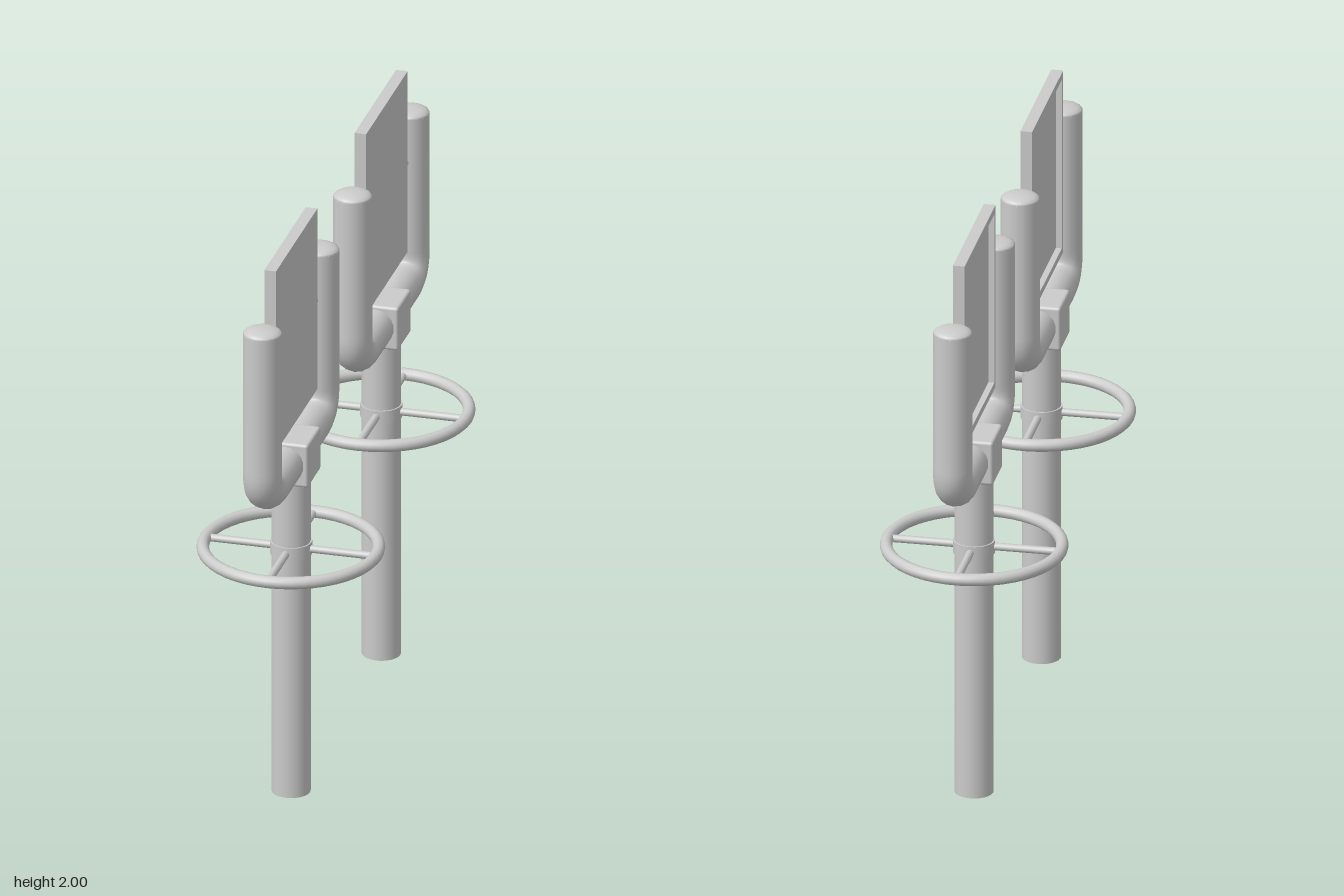
import * as THREE from 'three';
import { RoundedBoxGeometry } from 'three/addons/geometries/RoundedBoxGeometry.js';

const material = new THREE.MeshStandardMaterial({ color: 0xcccccc });

function add(parent, name, geometry, x = 0, y = 0, z = 0) {
  const mesh = new THREE.Mesh(geometry, material);
  mesh.name = name;
  mesh.position.set(x, y, z);
  parent.add(mesh);
  return mesh;
}

// U-shaped fork: two uprights joined by a bent crossbar, with slightly domed ends
function buildFork(unit) {
  const r = 0.065, reach = 0.36, low = 1.218, bend = 0.1;
  const tops = { front: 1.815, back: 1.803 };
  const v = (y, z) => new THREE.Vector3(0, y, z);
  const path = new THREE.CurvePath();
  path.add(new THREE.LineCurve3(v(tops.front, reach), v(low + bend, reach)));
  path.add(new THREE.QuadraticBezierCurve3(v(low + bend, reach), v(low, reach), v(low, reach - bend)));
  path.add(new THREE.LineCurve3(v(low, reach - bend), v(low, bend - reach)));
  path.add(new THREE.QuadraticBezierCurve3(v(low, bend - reach), v(low, -reach), v(low + bend, -reach)));
  path.add(new THREE.LineCurve3(v(low + bend, -reach), v(tops.back, -reach)));
  add(unit, 'fork', new THREE.TubeGeometry(path, 90, r, 18));

  for (const [end, side] of [['front', 1], ['back', -1]]) {
    const dome = new THREE.SphereGeometry(r, 18, 5, 0, Math.PI * 2, 0, Math.PI / 2);
    dome.scale(1, 0.32, 1);
    add(unit, end + 'ArmCap', dome, 0, tops[end], side * reach);

    // pivot pin between the arm and the panel
    const pin = new THREE.CylinderGeometry(0.012, 0.012, 0.09, 10).rotateX(Math.PI / 2);
    add(unit, end + 'PivotPin', pin, 0, 1.648, side * 0.295);
  }
}

// Thin panel: flat on the left side, recessed inside a raised rim on the right side
function buildPanel(unit) {
  const w = 0.52, h = 0.655, rim = 0.024, depth = 0.04;
  const panel = new THREE.Group();
  panel.name = 'panel';
  panel.position.set(0, 1.6725, 0.003);
  unit.add(panel);

  const rect = (target, a, b) => {
    target.moveTo(-a, -b);
    target.lineTo(a, -b);
    target.lineTo(a, b);
    target.lineTo(-a, b);
    target.closePath();
    return target;
  };
  const outline = rect(new THREE.Shape(), w / 2, h / 2);
  outline.holes.push(rect(new THREE.Path(), w / 2 - rim, h / 2 - rim));
  const frame = new THREE.ExtrudeGeometry(outline, { depth: depth / 2, bevelEnabled: false });
  frame.rotateY(Math.PI / 2);
  add(panel, 'panelRim', frame, -depth / 2);
  add(panel, 'panelPlate', new THREE.BoxGeometry(depth / 2, h, w), depth / 4);
}

// Horizontal handwheel with four spokes and a collar
function buildWheel(unit) {
  const wheel = new THREE.Group();
  wheel.name = 'handwheel';
  wheel.position.set(0, 0.885, 0.003);
  unit.add(wheel);
  add(wheel, 'wheelRing', new THREE.TorusGeometry(0.291, 0.021, 12, 48).rotateX(Math.PI / 2));
  add(wheel, 'wheelCollar', new THREE.CylinderGeometry(0.07, 0.07, 0.045, 24), 0, 0, -0.003);
  for (let i = 0; i < 4; i++) {
    const spoke = new THREE.CylinderGeometry(0.013, 0.013, 0.24, 10);
    spoke.rotateZ(Math.PI / 2).translate(0.17, 0, 0).rotateY(i * Math.PI / 2);
    add(wheel, 'wheelSpoke', spoke);
  }
}

function buildUnit(name, z) {
  const unit = new THREE.Group();
  unit.name = name;
  unit.position.z = z;
  add(unit, 'post', new THREE.CylinderGeometry(0.065, 0.065, 1.2, 24), 0, 0.6, 0);
  add(unit, 'crossBlock', new RoundedBoxGeometry(0.16, 0.155, 0.165, 2, 0.01), 0, 1.217, 0);
  buildFork(unit);
  buildPanel(unit);
  buildWheel(unit);
  return unit;
}

export function createModel() {
  const model = new THREE.Group();
  model.name = 'twinPanelStands';
  model.add(buildUnit('frontStand', 0.566), buildUnit('backStand', -0.566));
  return model;
}
